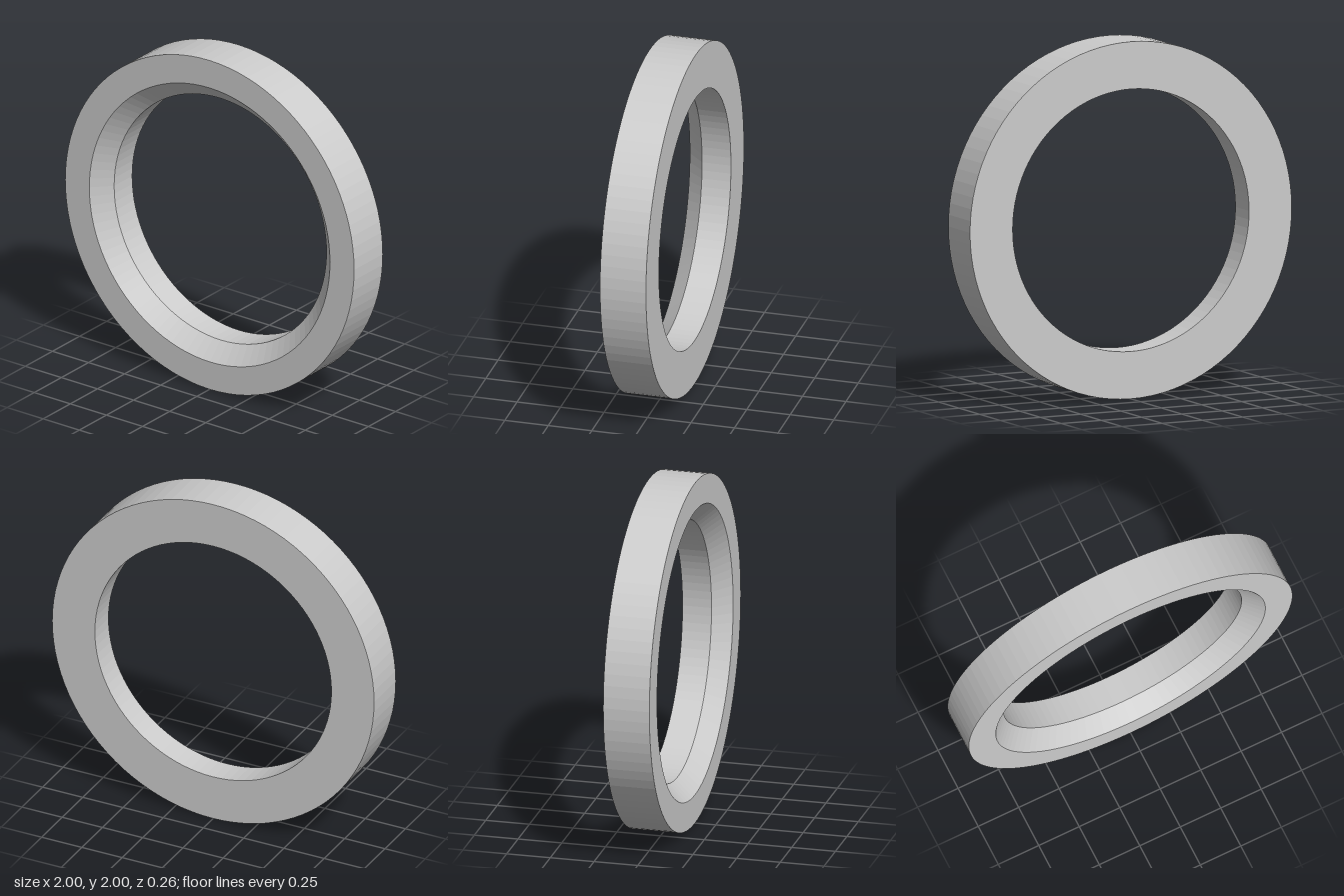
import * as THREE from 'three';

export function createModel() {
  const group = new THREE.Group();
  const outer = 1, bore = 0.735, chamfer = 0.098, half = 0.132;

  // Closed cross-section (radius, depth), counter-clockwise from the outer back edge
  const profile = [
    [outer, -half],
    [outer, half],
    [bore + chamfer, half],
    [bore, half - chamfer],
    [bore, -half],
    [outer, -half],
  ].map(([r, d]) => new THREE.Vector2(r, d));

  // Flat ring with a chamfered front bore, turned so its axis runs along z
  const geometry = new THREE.LatheGeometry(profile, 96);
  geometry.rotateX(Math.PI / 2);
  geometry.translate(0, outer, 0);

  const material = new THREE.MeshStandardMaterial({ color: 0xcccccc, flatShading: true });
  const ring = new THREE.Mesh(geometry, material);
  ring.name = 'chamferedRing';
  group.add(ring);
  return group;
}
